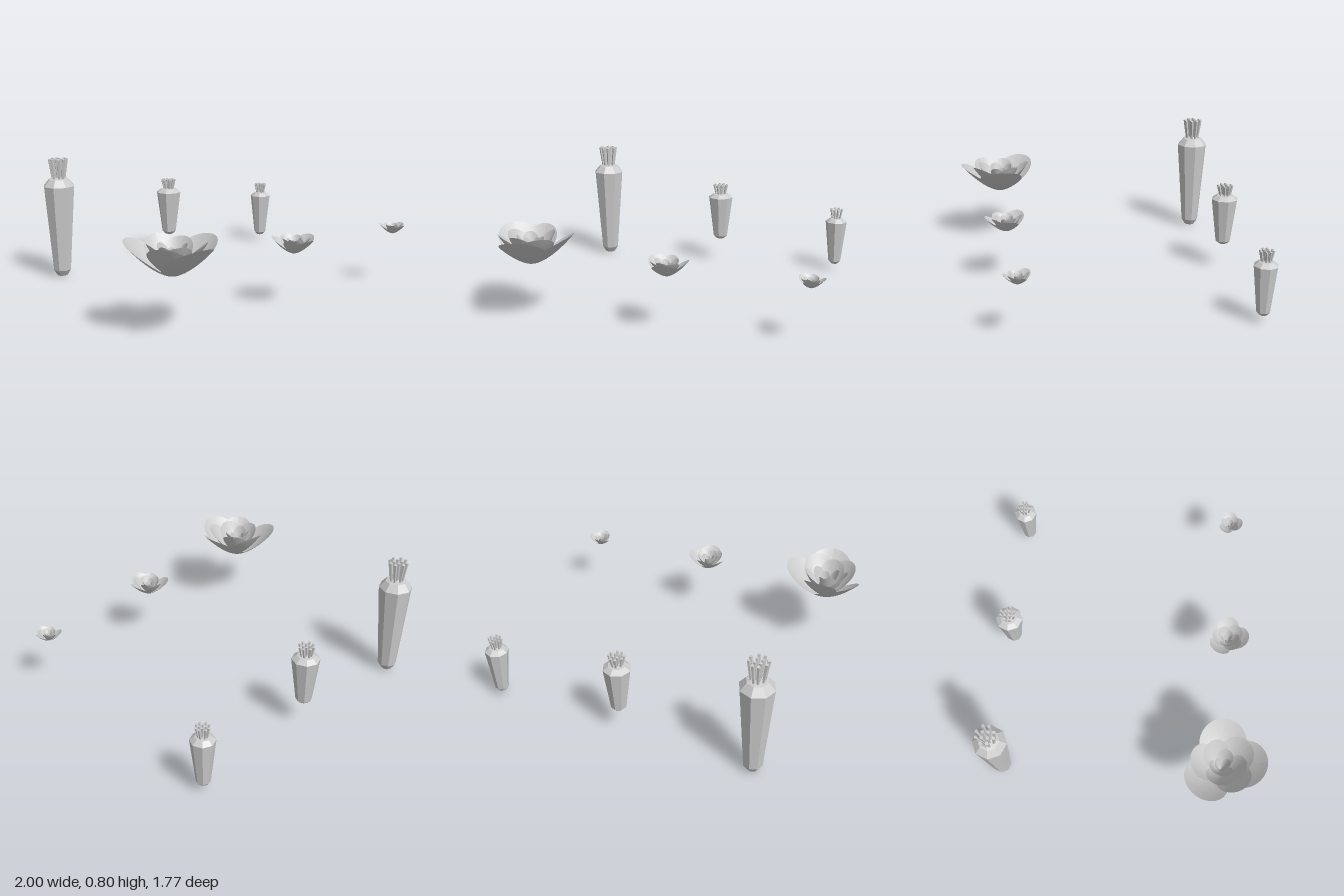
import * as THREE from 'three';

const flat = new THREE.MeshStandardMaterial({ color: 0xcccccc, flatShading: true });
const smooth = new THREE.MeshStandardMaterial({ color: 0xcccccc, side: THREE.DoubleSide });

function add(parent, name, geometry, material) {
  const mesh = new THREE.Mesh(geometry, material);
  mesh.name = name;
  parent.add(mesh);
  return mesh;
}

// Eight-sided tapered root with a flared tuft of cut stems
function makeCarrot(x, y, z, width, height) {
  const carrot = new THREE.Group();
  carrot.name = 'carrot';
  const profile = [[0, 0], [0.034, 0.008], [0.06, 0.048], [0.105, 0.62], [0.066, 0.665], [0, 0.68]]
    .map(([r, h]) => new THREE.Vector2(r, h));
  add(carrot, 'root', new THREE.LatheGeometry(profile, 8), flat);

  // Stems on a 4 x 4 grid without its corners
  const steps = [-1, -1 / 3, 1 / 3, 1];
  for (const i of steps) for (const j of steps) {
    if (Math.hypot(i, j) > 1.2) continue;
    const base = new THREE.Vector3(i * 0.034, 0.655, j * 0.034);
    const tip = new THREE.Vector3(i * 0.052, 0.8, j * 0.052);
    const axis = tip.clone().sub(base);
    const stem = add(carrot, 'stem', new THREE.CylinderGeometry(0.011, 0.008, axis.length(), 5), flat);
    stem.position.copy(base).add(tip).multiplyScalar(0.5);
    stem.quaternion.setFromUnitVectors(new THREE.Vector3(0, 1, 0), axis.normalize());
  }
  carrot.position.set(x, y, z);
  carrot.scale.set(width, height, width);
  return carrot;
}

// Rounded petal rising along +x, cupped like part of a bowl
function petalGeometry(reach, height, halfWidth) {
  const geometry = new THREE.RingGeometry(0.001, 1, 28, 6);
  const p = geometry.attributes.position;
  for (let i = 0; i < p.count; i++) {
    const out = reach * (1 + p.getX(i)) / 2;
    const side = halfWidth * p.getY(i);
    const lift = height * Math.pow((out * out + side * side) / (reach * reach), 0.8);
    p.setXYZ(i, out, lift, -side);
  }
  geometry.computeVertexNormals();
  return geometry;
}

// Layers of three petals, outermost first, set by the golden angle
function makeFlower(x, y, z, size) {
  const flower = new THREE.Group();
  flower.name = 'flower';
  const layers = [[0.268, 0.2, 0.145], [0.2, 0.2, 0.11], [0.145, 0.195, 0.085], [0.085, 0.18, 0.05], [0.048, 0.15, 0.03]];
  let angle = 275;
  for (const layer of layers) {
    for (let i = 0; i < 3; i++) {
      const petal = add(flower, 'petal', petalGeometry(...layer), smooth);
      petal.rotation.y = THREE.MathUtils.degToRad(angle);
      angle -= 137.5;
    }
  }
  flower.position.set(x, y, z);
  flower.scale.setScalar(size);
  return flower;
}

export function createModel() {
  const model = new THREE.Group();
  model.name = 'carrotsAndFlowers';
  model.add(
    makeCarrot(-0.77, 0, -0.785, 1, 1),
    makeCarrot(0.08, 0.17, -0.785, 0.82, 0.5),
    makeCarrot(0.91, 0.045, -0.785, 0.7, 0.5),
    makeFlower(-0.77, 0.343, 0.615, 1),
    makeFlower(0.075, 0.34, 0.625, 0.5),
    makeFlower(0.91, 0.34, 0.615, 0.31)
  );
  return model;
}
